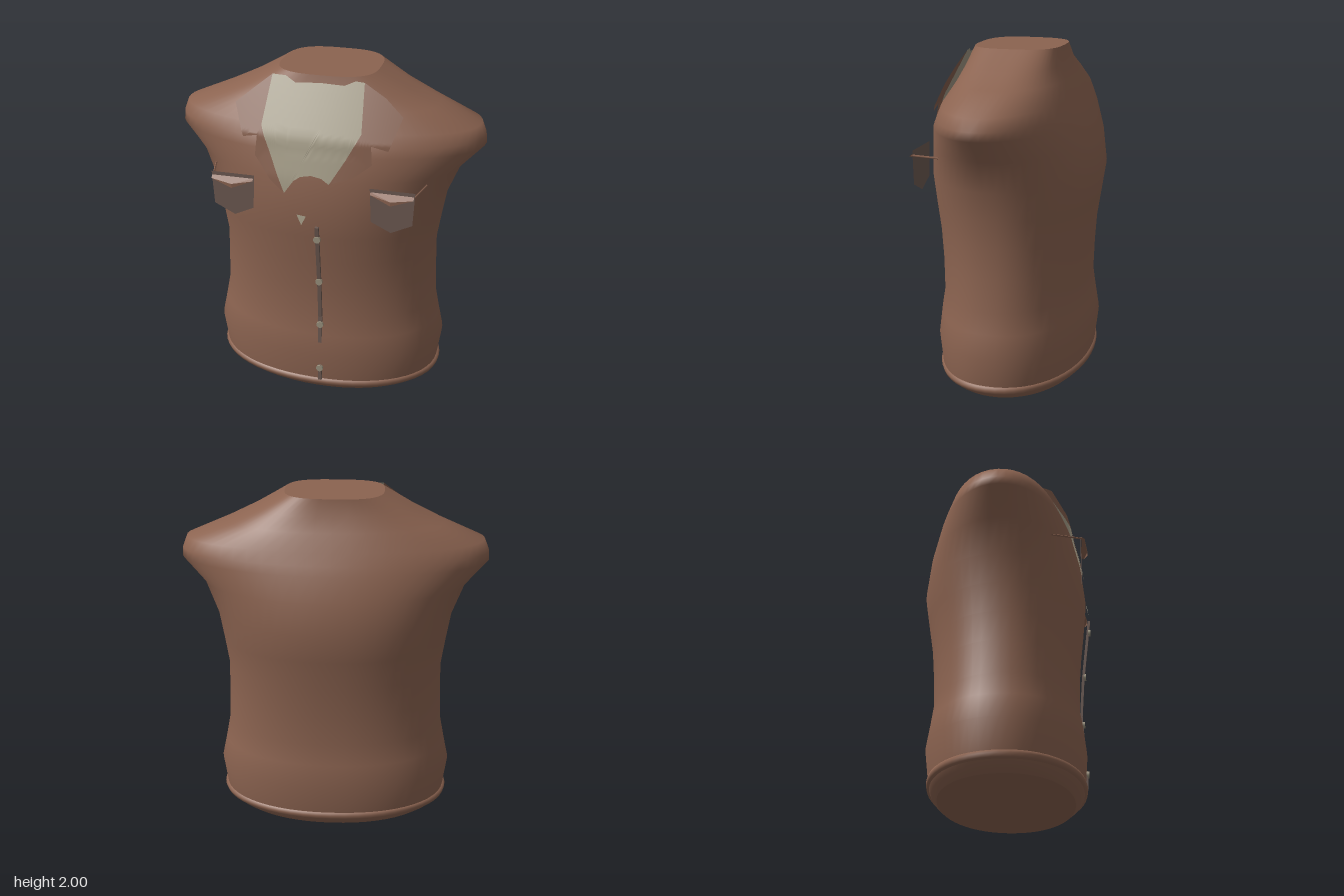
import * as THREE from 'three';
import { mergeVertices } from 'three/addons/utils/BufferGeometryUtils.js';

const paint = (name, color, side = THREE.FrontSide) => {
  const m = new THREE.MeshStandardMaterial({ color, side });
  m.name = name;
  return m;
};

// Torso sections: height, half width, front z, back z, squareness
const BODY = [
  [0.1, 0.695, 0.445, -0.46, 2.15],
  [0.28, 0.72, 0.46, -0.48, 2.15],
  [0.42, 0.69, 0.445, -0.458, 2.15],
  [0.55, 0.665, 0.425, -0.44, 2.15],
  [0.75, 0.657, 0.43, -0.447, 2.15],
  [0.93, 0.652, 0.445, -0.46, 2.15],
  [1.1, 0.677, 0.465, -0.485, 2.15],
  [1.27, 0.705, 0.482, -0.51, 2.15],
  [1.46, 0.78, 0.462, -0.482, 2.1],
  [1.6, 0.912, 0.427, -0.43, 2],
  [1.65, 0.908, 0.405, -0.41, 2],
  [1.72, 0.88, 0.365, -0.375, 2.1],
  [1.82, 0.64, 0.305, -0.33, 2.4],
  [1.9, 0.47, 0.27, -0.285, 2.7],
  [2.0, 0.29, 0.24, -0.27, 3],
];
const HEM = [[0, 0.62, 0.385, -0.41, 2.1], [0.03, 0.665, 0.42, -0.44, 2.1], [0.06, 0.69, 0.44, -0.455, 2.1]];
const BAND = [
  [0.055, 0.68, 0.43, -0.445, 2.1], [0.062, 0.705, 0.453, -0.468, 2.1], [0.082, 0.712, 0.458, -0.472, 2.1],
  [0.1, 0.705, 0.453, -0.468, 2.1], [0.106, 0.68, 0.43, -0.445, 2.1],
];

const power = (v, p) => Math.sign(v) * Math.abs(v) ** (2 / p);

// Skin through stacked cross-sections
function loft(rings, n = 56) {
  const pos = [], index = [];
  rings.forEach(([y, w, front, back, p], i) => {
    for (let j = 0; j < n; j++) {
      const a = (j / n) * Math.PI * 2, c = power(Math.cos(a), p);
      pos.push(w * power(Math.sin(a), p), y, c * (c > 0 ? front : -back));
      if (i === rings.length - 1) continue;
      const k = (j + 1) % n, r = i * n;
      index.push(r + j, r + k, r + n + k, r + j, r + n + k, r + n + j);
    }
  });
  const g = new THREE.BufferGeometry();
  g.setAttribute('position', new THREE.Float32BufferAttribute(pos, 3));
  g.setIndex(index);
  g.computeVertexNormals();
  return g;
}

// Flat lid on one cross-section
function lid([y, w, front, back, p], up) {
  const pts = [];
  for (let j = 0; j < 56; j++) {
    const a = (j / 56) * Math.PI * 2, c = power(Math.cos(a), p);
    pts.push(new THREE.Vector2(w * power(Math.sin(a), p), (up ? -1 : 1) * c * (c > 0 ? front : -back)));
  }
  return new THREE.ShapeGeometry(new THREE.Shape(pts)).rotateX(up ? -Math.PI / 2 : Math.PI / 2).translate(0, y, 0);
}

const lerp = THREE.MathUtils.lerp;
function bodyFront(x, y) {
  let i = 0;
  while (i < BODY.length - 2 && y > BODY[i + 1][0]) i++;
  const t = (y - BODY[i][0]) / (BODY[i + 1][0] - BODY[i][0]);
  const [, w, front, , p] = BODY[i].map((v, k) => lerp(v, BODY[i + 1][k], t));
  return front * Math.max(0, 1 - Math.abs(x / w) ** p) ** (1 / p);
}

// Slope of the open neck in front of the chest
function neckSlope(x, y) {
  const s = y > 1.68 ? lerp(0.41, 0.24, (y - 1.68) / 0.31) : lerp(0.46, 0.41, (y - 1.37) / 0.31);
  return s - 0.2 * x * x;
}

// Cloth outline, finely divided and draped over the chest
function drape(outline, gap) {
  const flat = new THREE.ShapeGeometry(new THREE.Shape(outline.map(([x, y]) => new THREE.Vector2(x, y)))).toNonIndexed();
  const src = flat.attributes.position, pos = [];
  const split = (a, b, c, depth) => {
    if (!depth) {
      for (const v of [a, b, c]) pos.push(v.x, v.y, Math.max(bodyFront(v.x, v.y), neckSlope(v.x, v.y)) + gap);
      return;
    }
    const [ab, bc, ca] = [[a, b], [b, c], [c, a]].map(([u, v]) => u.clone().lerp(v, 0.5));
    for (const t of [[a, ab, ca], [ab, b, bc], [ca, bc, c], [ab, bc, ca]]) split(...t, depth - 1);
  };
  for (let i = 0; i < src.count; i += 3) {
    split(...[0, 1, 2].map((k) => new THREE.Vector3().fromBufferAttribute(src, i + k)), 4);
  }
  const g = new THREE.BufferGeometry();
  g.setAttribute('position', new THREE.Float32BufferAttribute(pos, 3));
  const merged = mergeVertices(g, 1e-5);
  merged.computeVertexNormals();
  return merged;
}

export function createModel() {
  const model = new THREE.Group();
  model.name = 'jacketTorso';
  const leather = paint('brown leather', 0x8b6350);
  const lapelCloth = paint('brown leather lapel', 0x86604e, THREE.DoubleSide);
  const shirtCloth = paint('pale shirt', 0xa39b86, THREE.DoubleSide);
  const pocketCloth = paint('dark pocket', 0x6b5850, THREE.DoubleSide);
  const metal = paint('button grey', 0x98907c);
  const add = (name, geometry, material, parent = model) => {
    const m = new THREE.Mesh(geometry, material);
    m.name = name;
    parent.add(m);
    return m;
  };

  // Body, hem and waistband
  add('body', loft(BODY), leather);
  add('neckTop', lid(BODY[BODY.length - 1], true), leather);
  add('hem', loft(HEM), leather);
  add('underside', lid(HEM[0], false), leather);
  add('waistband', loft(BAND), leather);

  // Shirt in the open neck, and the scrap below it
  add('shirt', drape([
    [-0.28, 1.985], [-0.31, 1.73], [-0.155, 1.37], [-0.1, 1.45], [-0.06, 1.478], [0, 1.49], [0.06, 1.48],
    [0.105, 1.45], [0.19, 1.59], [0.265, 1.73], [0.25, 1.98], [0.2, 1.985], [0.14, 1.96], [0, 1.965], [-0.14, 1.955], [-0.2, 1.985],
  ], 0.01), shirtCloth);
  add('shirtScrap', drape([[-0.08, 1.25], [-0.05, 1.19], [-0.025, 1.245]], 0.008), shirtCloth);

  // Notched lapels
  add('rightLapel', drape([
    [-0.28, 1.985], [-0.375, 1.91], [-0.485, 1.82], [-0.415, 1.655], [-0.33, 1.675], [-0.34, 1.56],
    [-0.245, 1.44], [-0.155, 1.37], [-0.31, 1.73],
  ], 0.009), lapelCloth);
  add('leftLapel', drape([
    [0.25, 1.98], [0.265, 1.73], [0.105, 1.45], [0.245, 1.5], [0.335, 1.57], [0.325, 1.675],
    [0.42, 1.65], [0.48, 1.82], [0.375, 1.91],
  ], 0.009), lapelCloth);

  // Chest pockets with a folded flap and a side strap
  const pocketShape = new THREE.Shape([[0.335, 1.45], [0.345, 1.245], [0.46, 1.19], [0.58, 1.25], [0.59, 1.45]]
    .map(([x, y]) => new THREE.Vector2(x, y)));
  for (const side of [1, -1]) {
    const pocket = new THREE.Group();
    pocket.name = side > 0 ? 'leftPocket' : 'rightPocket';
    add('pocketPanel', new THREE.ShapeGeometry(pocketShape), pocketCloth, pocket).position.z = 0.458;
    const flap = new THREE.BufferGeometry();
    flap.setAttribute('position', new THREE.Float32BufferAttribute([
      0.34, 1.43, 0.46, 0.46, 1.4, 0.497, 0.585, 1.43, 0.462,
      0.34, 1.42, 0.475, 0.46, 1.375, 0.497, 0.585, 1.415, 0.48], 3));
    flap.setIndex([0, 3, 1, 3, 4, 1, 1, 4, 5, 1, 5, 2, 0, 1, 2]);
    const flat = flap.toNonIndexed();
    flat.computeVertexNormals();
    add('pocketFlap', flat, lapelCloth, pocket);
    const strap = new THREE.LineCurve3(new THREE.Vector3(0.58, 1.42, 0.465), new THREE.Vector3(0.625, 1.427, 0.29));
    add('pocketStrap', new THREE.TubeGeometry(strap, 1, 0.006, 4), lapelCloth, pocket);
    pocket.traverse((o) => { if (o.isMesh && side < 0) o.geometry.scale(-1, 1, 1); });
    model.add(pocket);
  }
  // Restore outward faces on the mirrored pocket
  model.getObjectByName('rightPocket').traverse((o) => {
    if (!o.isMesh) return;
    const g = o.geometry.index ? o.geometry.toNonIndexed() : o.geometry;
    for (const a of Object.values(g.attributes)) {
      for (let i = 0; i < a.count; i += 3) {
        for (let k = 0; k < a.itemSize; k++) {
          const t = a.getComponent(i + 1, k);
          a.setComponent(i + 1, k, a.getComponent(i + 2, k));
          a.setComponent(i + 2, k, t);
        }
      }
    }
    g.computeVertexNormals();
    o.geometry = g;
  });

  // Front fastening strips, standing a little off the body
  const strip = (name, pts) => pts.slice(1).forEach(([y, z], i) => {
    const [y0, z0] = pts[i];
    const m = add(name, new THREE.BoxGeometry(0.022, Math.hypot(y - y0, z - z0), 0.016), pocketCloth);
    m.position.set(0.042, (y + y0) / 2, (z + z0) / 2);
    m.rotation.x = Math.atan2(z0 - z, y0 - y);
  });
  strip('placket', [[1.19, 0.5], [0.8, 0.452], [0.55, 0.433], [0.37, 0.443]]);
  strip('lowerPlacket', [[0.21, 0.453], [0.1, 0.453]]);

  // Buttons
  for (const [y, z] of [[1.11, 0.495], [0.81, 0.458], [0.5, 0.442], [0.19, 0.457]]) {
    add('button', new THREE.CylinderGeometry(0.021, 0.021, 0.016, 10).rotateX(Math.PI / 2), metal).position.set(0.043, y, z + 0.004);
  }
  return model;
}
